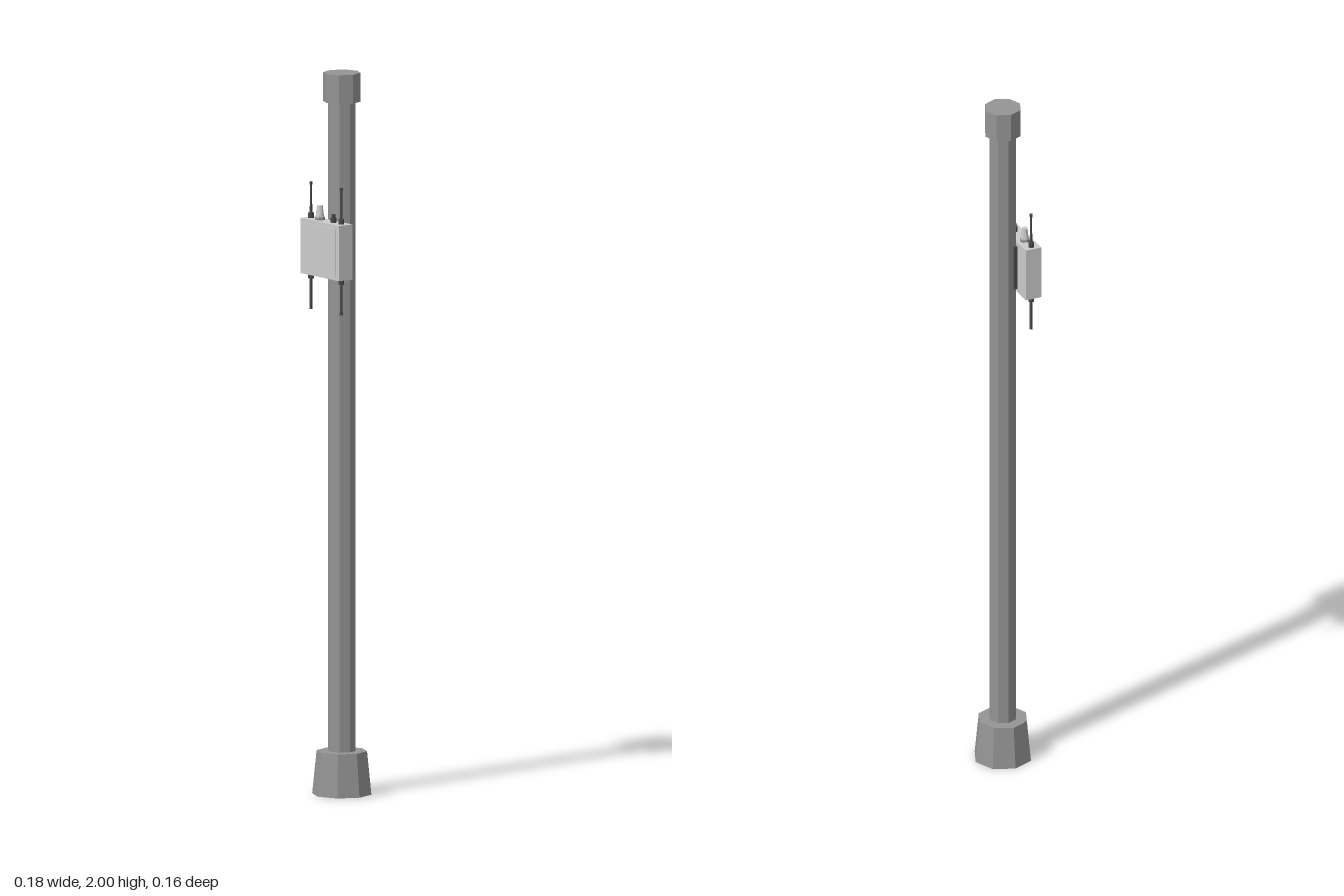
import * as THREE from 'three';

export function createModel() {
  const model = new THREE.Group();
  const mat = (color) => new THREE.MeshStandardMaterial({ color, flatShading: true });
  const light = mat(0xcccccc), steel = mat(0x949494), dark = mat(0x4a4a4a);

  const add = (name, geometry, material, x, y, z) => {
    const mesh = new THREE.Mesh(geometry, material);
    mesh.name = name;
    mesh.position.set(x, y, z);
    model.add(mesh);
  };
  // Upright tapered prism between heights y0 and y1
  const post = (name, rBottom, rTop, y0, y1, sides, material, x = 0, z = 0) =>
    add(name, new THREE.CylinderGeometry(rTop, rBottom, y1 - y0, sides), material, x, (y0 + y1) / 2, z);

  // Octagonal pole with tapered foot and end cap
  post('foot', 0.082, 0.07, 0, 0.12, 8, steel);
  post('pole', 0.038, 0.038, 0.12, 1.92, 8, steel);
  post('cap', 0.052, 0.052, 1.92, 2, 8, steel);

  // Equipment box, front cover and mounting bracket
  add('box', new THREE.BoxGeometry(0.177, 0.153, 0.047), light, 0, 1.516, 0.0515);
  add('frontCover', new THREE.BoxGeometry(0.15, 0.132, 0.003), light, -0.001, 1.516, 0.0765);
  add('bracket', new THREE.BoxGeometry(0.07, 0.13, 0.012), dark, 0, 1.515, 0.024);

  // Whip antennas above and below the box, each in a threaded nut
  for (const x of [-0.073, 0.067]) {
    post('upperNut', 0.008, 0.008, 1.592, 1.607, 8, dark, x, 0.051);
    post('upperAntenna', 0.004, 0.003, 1.607, 1.688, 6, dark, x, 0.051);
    post('upperTip', 0.005, 0.005, 1.685, 1.693, 6, dark, x, 0.051);
    post('lowerNut', 0.008, 0.008, 1.425, 1.44, 8, dark, x, 0.051);
    post('lowerAntenna', 0.004, 0.004, 1.347, 1.425, 6, dark, x, 0.051);
    post('lowerTip', 0.005, 0.005, 1.34, 1.348, 6, dark, x, 0.051);
  }

  // Beacon and cable connector on top of the box
  post('beaconBase', 0.014, 0.014, 1.592, 1.6, 8, steel, -0.032, 0.051);
  post('beacon', 0.012, 0.008, 1.6, 1.632, 8, light, -0.032, 0.051);
  post('connector', 0.008, 0.008, 1.592, 1.606, 8, dark, 0.031, 0.051);
  post('connectorPin', 0.005, 0.005, 1.606, 1.616, 8, dark, 0.031, 0.051);

  return model;
}
